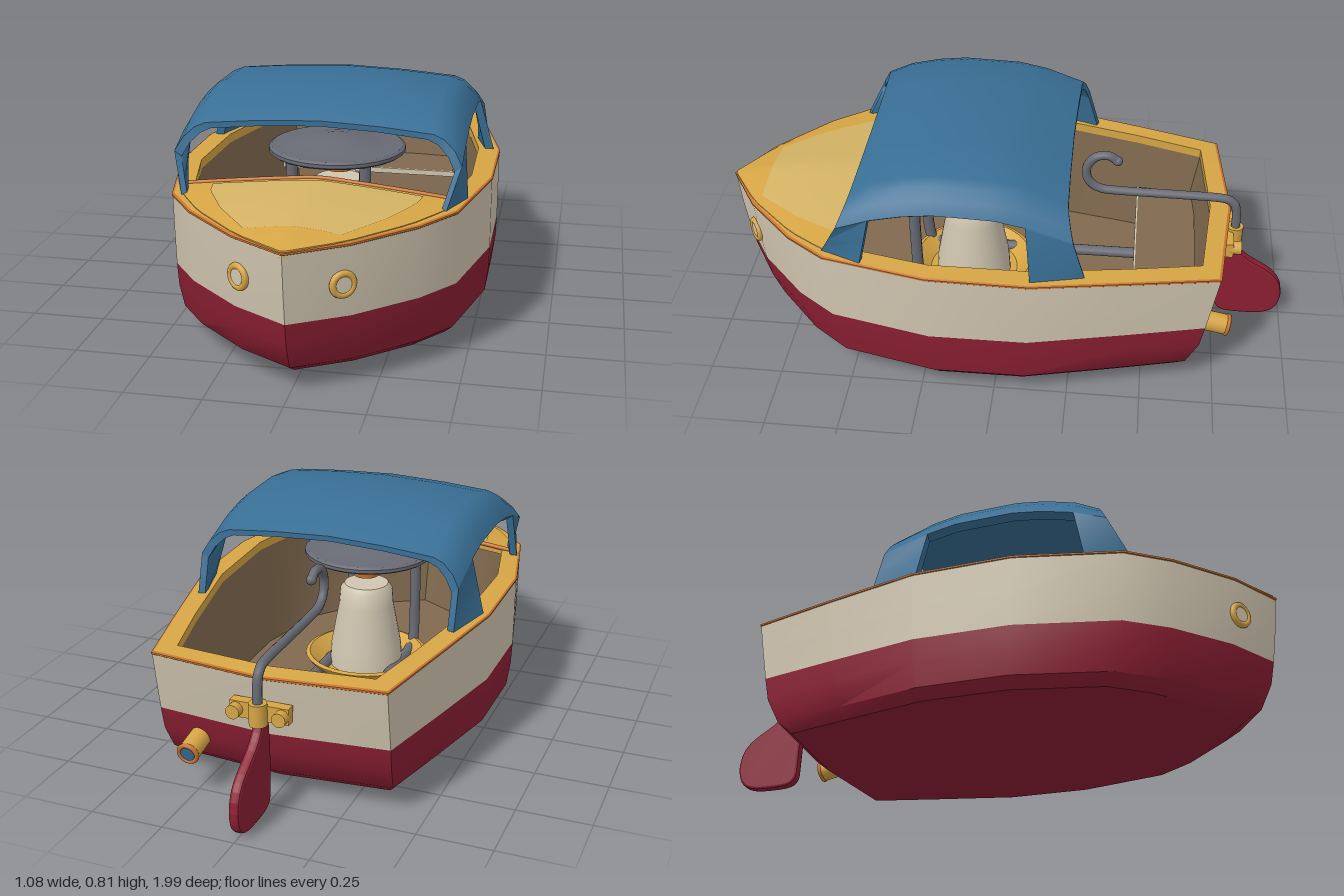
import * as THREE from 'three';
import { toCreasedNormals } from 'three/addons/utils/BufferGeometryUtils.js';

const mat = (name, color, side = THREE.FrontSide) => {
  const m = new THREE.MeshStandardMaterial({ color, side });
  m.name = name;
  return m;
};

// Quads between successive rows of [x, y, z] points
function sheet(rows, closed = false, crease = 0.6) {
  const pos = [];
  for (let i = 0; i < rows.length - 1; i++) {
    const n = rows[i].length;
    for (let j = 0; j < (closed ? n : n - 1); j++) {
      const k = (j + 1) % n;
      const a = rows[i][j], b = rows[i][k], c = rows[i + 1][k], d = rows[i + 1][j];
      pos.push(...a, ...d, ...b, ...b, ...d, ...c);
    }
  }
  const g = new THREE.BufferGeometry();
  g.setAttribute('position', new THREE.Float32BufferAttribute(pos, 3));
  return toCreasedNormals(g, crease);
}

// Closed solid: a sheet plus its offset underside, rims and end caps
function shell(rows, under) {
  const loops = rows.map(r => [...r, ...r.map(under).reverse()]);
  const cap = r => {
    const mid = r.map(p => { const q = under(p); return p.map((v, i) => (v + q[i]) / 2); });
    return [...mid, ...mid.slice().reverse()];
  };
  return sheet([cap(rows[0]), ...loops, cap(rows[rows.length - 1])], true);
}

const lerp = THREE.MathUtils.lerp;
const mirrorX = ([x, y, z]) => [-x, y, z];
const ringOf = half => [...half, ...half.slice(1, -1).reverse().map(([x, z]) => [-x, z])];

// Plan outlines, stern centre to bow, as [x, z]
const OUTER = [[0, -.78], [.4, -.74], [.465, -.45], [.535, -.12], [.537, .22], [.46, .57], [.36, .71], [.18, .88], [0, .99]];
const INNER = [[0, -.71], [.34, -.68], [.395, -.45], [.46, -.12], [.468, .22], [.4, .54], [.31, .66], [.15, .81], [0, .9]];
const sheer = z => z < .1 ? .5 - .036 * ((.1 - z) / .88) ** 1.3 : .5 - .012 * Math.max(0, (z - .5) / .5);
const hullWidth = z => {
  for (let i = 2; i < OUTER.length; i++) {
    const [x0, z0] = OUTER[i - 1], [x1, z1] = OUTER[i];
    if (z <= z1) return lerp(x0, x1, (z - z0) / (z1 - z0));
  }
  return 0;
};

export function createModel() {
  const boat = new THREE.Group();
  boat.name = 'toyBoat';
  const red = mat('redPaint', 0x8c1f33, THREE.DoubleSide);
  const cream = mat('creamPaint', 0xd0c5b0, THREE.DoubleSide);
  const yellow = mat('yellowWood', 0xd6a545, THREE.DoubleSide);
  const pale = mat('paleYellowDeck', 0xd2b264, THREE.DoubleSide);
  const orange = mat('orangeTrim', 0xc8742f, THREE.DoubleSide);
  const brown = mat('brownInterior', 0x80694e, THREE.DoubleSide);
  const blue = mat('blueCanopy', 0x386e94, THREE.DoubleSide);
  const grey = mat('greyMetal', 0x686a74, THREE.DoubleSide);

  const add = (name, geo, material, x = 0, y = 0, z = 0, parent = boat) => {
    const m = new THREE.Mesh(geo, material);
    m.name = name;
    m.position.set(x, y, z);
    parent.add(m);
    return m;
  };
  const tube = (pts, r, seg = 40, tension = .5) => new THREE.TubeGeometry(
    new THREE.CatmullRomCurve3(pts.map(p => new THREE.Vector3(...p)), false, 'catmullrom', tension), seg, r, 10);
  const lathe = pts => toCreasedNormals(
    new THREE.LatheGeometry(pts.map(p => new THREE.Vector2(...p)), 32).toNonIndexed(), .6);

  // Hull rings: height, width scale, bow scale, stern scale
  const outer = ringOf(OUTER), inner = ringOf(INNER);
  const level = (y, sx, bow, stern) => outer.map(([x, z]) => [x * sx, y, z * (z > 0 ? bow : stern)]);
  const flatten = ring => ring.map(([x, y, z]) => [0, y, z]);
  const top = (ring, dy, s = 1) => ring.map(([x, z]) => [x * s, sheer(z) + dy, z * s]);
  const base = level(.05, .915, .86, .825);
  const waterline = level(.25, 1, .975, .955);
  add('lowerHull', sheet([flatten(base), base, level(.085, .975, .92, .88),
    level(.17, .995, .96, .935), waterline], true), red);
  add('upperHull', sheet([waterline, level(.36, 1, .99, .98), top(outer, -.011)], true), cream);
  add('rimTrim', sheet([top(outer, -.011), top(outer, -.009, 1.004), top(outer, -.003, 1.004), top(outer, 0, .992)], true), orange);
  add('gunwale', sheet([top(outer, 0, .992), top(inner, .002), top(inner, -.03)], true), yellow);
  const floor = inner.map(([x, z]) => [x * .92, .1, z * .92]);
  add('interior', sheet([top(inner, -.03), floor, flatten(floor)], true), brown);

  // Stern bench
  const bench = new THREE.Shape([[-.335, .46], [.335, .46], [.315, .67], [-.315, .67]].map(p => new THREE.Vector2(...p)));
  const benchGeo = new THREE.ExtrudeGeometry(bench, { depth: .02, bevelEnabled: false });
  benchGeo.rotateX(-Math.PI / 2);
  add('bench', benchGeo, brown, 0, .27, 0);
  add('benchEdge', new THREE.BoxGeometry(.68, .02, .008), cream, 0, .28, -.458);

  // Foredeck, crowned along the middle
  const deckPoint = (s, t, lift = 0) => {
    const z = lerp(.48, .985, t);
    const crown = .045 * (1 - Math.abs(s) ** 1.2) * Math.cos(t * Math.PI / 2) ** .7;
    return [s * hullWidth(z) * .93, sheer(z) + .003 + crown + lift, z];
  };
  const deckGrid = (smax, t0, t1, lift) => Array.from({ length: 17 }, (_, i) =>
    Array.from({ length: 13 }, (_, j) => deckPoint(smax * (i / 8 - 1), lerp(t1, t0, j / 12), lift)));
  add('foredeck', shell(deckGrid(1, 0, 1, 0), ([x, y, z]) => [x, y - .025, z]), yellow);
  add('deckPanel', sheet(deckGrid(.78, .05, .74, .002)), pale);
  add('deckTrim', tube(Array.from({ length: 9 }, (_, i) => deckPoint(i / 4 - 1, 0)), .008), orange);

  // Canopy roof: arch [x, drop] swept along columns [z, y, flare]
  const canopy = new THREE.Group();
  canopy.name = 'canopy';
  boat.add(canopy);
  const arch = [[0, 0], [.2, .008], [.37, .022], [.405, .036], [.44, .068], [.465, .11]];
  const cols = [[.47, .735, .05], [.4, .775, .01], [.3, .8, 0], [.2, .812, 0], [0, .806, 0], [-.1, .785, 0], [-.225, .735, -.03]];
  const roofRow = ([x, d]) => cols.map(([z, y, f]) => [x, y - d, z + f * d / .11]);
  const fullArch = [...arch.slice(1).reverse().map(([x, d]) => [-x, d]), ...arch];
  const under = ([x, y, z]) => [x * .95, y - .018, z];
  add('roof', shell(fullArch.map(roofRow), under), blue, 0, 0, 0, canopy);

  // Four canopy legs flowing down from the roof corners
  const edge = roofRow(arch[arch.length - 1]);
  const legs = {
    frontLeg: [edge.slice(0, 2), [[.425, .495, .585], [.48, .495, .445]]],
    rearLeg: [edge.slice(5), [[.515, .492, -.12], [.465, .488, -.295]]],
  };
  for (const [name, [head, foot]] of Object.entries(legs)) {
    const rows = [0, .5, 1].map(t => head.map((p, i) => p.map((v, k) => lerp(v, foot[i][k], t))));
    add(name + 'Left', shell(rows, under), blue, 0, 0, 0, canopy);
    add(name + 'Right', shell(rows.map(r => r.map(mirrorX)).reverse(), under), blue, 0, 0, 0, canopy);
  }

  // Boiler over a candle in a dish
  add('boiler', lathe([[0, .545], [.225, .545], [.235, .552], [.235, .564], [.225, .571],
    [.17, .571], [.13, .58], [.06, .594], [0, .6]]), grey, 0, 0, .16);
  add('flameCone', lathe([[0, .47], [.045, .47], [.05, .5], [.11, .545], [0, .546]]), orange, 0, 0, .13);
  add('candle', lathe([[0, .12], [.135, .12], [.13, .2], [.1, .36], [.095, .42], [.08, .44], [0, .44]]), cream, 0, 0, .13);
  add('candleDish', lathe([[0, .11], [.17, .11], [.215, .15], [.225, .165], [.21, .17], [.16, .125], [0, .125]]), yellow, 0, 0, .13);
  for (const s of [1, -1]) {
    add('waterPipe', tube([[s * .125, .55, .32], [s * .125, .35, .32], [s * .125, .17, .31],
      [s * .125, .135, .26], [s * .125, .135, -.1], [s * .125, .135, -.5]], .02), grey);
    // Bow portholes
    const port = new THREE.Group();
    port.name = 'porthole';
    port.position.set(s * .16, .36, .887);
    port.rotation.y = s * .62;
    boat.add(port);
    add('portholeRing', new THREE.TorusGeometry(.034, .011, 10, 24), yellow, 0, 0, 0, port);
    add('portholeGlass', new THREE.CylinderGeometry(.03, .03, .008, 24).rotateX(Math.PI / 2), cream, 0, 0, .003, port);
    // Rudder bracket bolts
    add('bracketBolt', new THREE.CylinderGeometry(.024, .024, .04, 12).rotateX(Math.PI / 2), yellow, s * .078, .35, -.808);
  }

  // Tiller, bracket and rudder
  add('tiller', tube([[0, .635, -.378], [0, .655, -.345], [0, .645, -.3], [0, .6, -.272], [0, .55, -.28], [0, .517, -.32],
    [0, .51, -.4], [0, .508, -.6], [0, .505, -.74], [0, .49, -.785], [0, .45, -.803], [0, .33, -.808]], .016, 90), grey);
  add('tillerTip', new THREE.SphereGeometry(.018, 12, 8), grey, 0, .635, -.378);
  add('rudderBracket', new THREE.BoxGeometry(.2, .055, .035), yellow, 0, .35, -.782);
  add('bracketSleeve', new THREE.CylinderGeometry(.03, .03, .075, 14), yellow, 0, .35, -.805);
  const blade = new THREE.Shape();
  blade.moveTo(.77, .33);
  blade.lineTo(.8, .32);
  blade.bezierCurveTo(.85, .2, .98, .23, .99, .1);
  blade.bezierCurveTo(.99, .02, .95, .01, .88, .009);
  blade.bezierCurveTo(.8, .009, .775, .01, .77, .05);
  blade.lineTo(.763, .2);
  const bladeGeo = new THREE.ExtrudeGeometry(blade, { depth: .016, bevelThickness: .01, bevelSize: .009, bevelSegments: 2, curveSegments: 10 });
  add('rudder', bladeGeo.translate(0, 0, -.008).rotateY(Math.PI / 2), red);

  // Exhaust pipe through the transom
  const exhaust = new THREE.Group();
  exhaust.name = 'exhaust';
  exhaust.position.set(.26, .16, -.745);
  exhaust.rotation.x = -Math.PI / 2 - .2;
  boat.add(exhaust);
  add('exhaustPipe', new THREE.CylinderGeometry(.036, .036, .1, 16), yellow, 0, 0, 0, exhaust);
  add('exhaustCollar', new THREE.TorusGeometry(.032, .008, 8, 16).rotateX(Math.PI / 2), orange, 0, .048, 0, exhaust);
  add('exhaustHole', new THREE.CylinderGeometry(.025, .025, .006, 16), blue, 0, .05, 0, exhaust);
  return boat;
}
